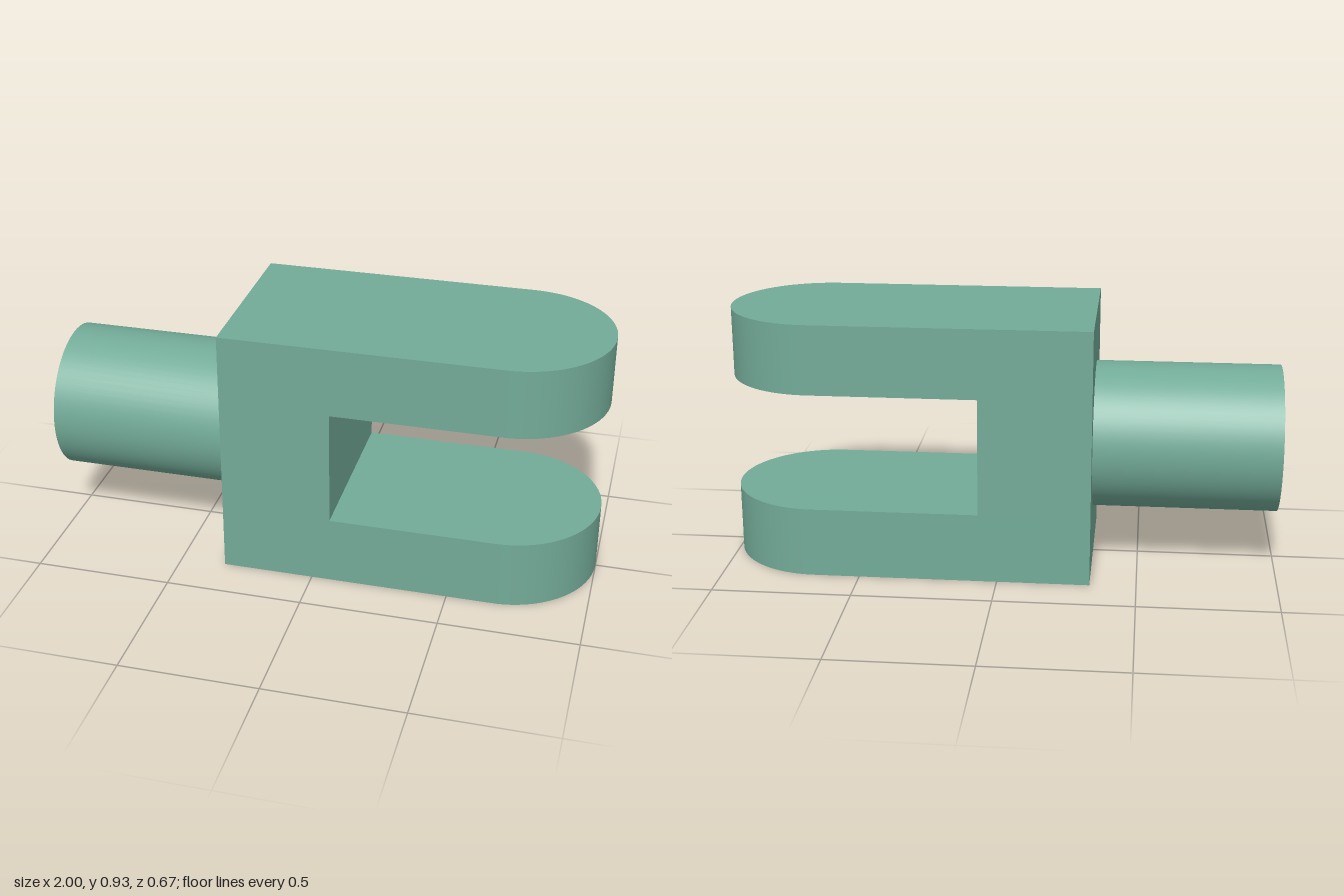
import * as THREE from 'three';
import { toCreasedNormals } from 'three/addons/utils/BufferGeometryUtils.js';

const BACK = -1 / 3, SLOT = 0.067, HALF_WIDTH = 1 / 3;
const HEIGHT = 0.933, PRONG = 0.253;

export function createModel() {
  const model = new THREE.Group();
  model.name = 'forkEnd';
  const green = new THREE.MeshStandardMaterial({ color: 0x73ab98 });
  green.name = 'sage green';

  const add = (name, geometry, x, y) => {
    const mesh = new THREE.Mesh(geometry, green);
    mesh.name = name;
    mesh.position.set(x, y, 0);
    model.add(mesh);
  };

  // Prongs: flat plates with a half-round tip, running the full body length
  const outline = new THREE.Shape();
  outline.moveTo(BACK, -HALF_WIDTH);
  outline.lineTo(1 - HALF_WIDTH, -HALF_WIDTH);
  outline.absarc(1 - HALF_WIDTH, 0, HALF_WIDTH, -Math.PI / 2, Math.PI / 2, false);
  outline.lineTo(BACK, HALF_WIDTH);
  outline.closePath();
  const plate = new THREE.ExtrudeGeometry(outline, { depth: PRONG, bevelEnabled: false, curveSegments: 40 });
  plate.rotateX(-Math.PI / 2);
  const prong = toCreasedNormals(plate, Math.PI / 6);
  add('lowerProng', prong, 0, 0);
  add('upperProng', prong, 0, HEIGHT - PRONG);

  // Web joining the prongs behind the slot
  add('web', new THREE.BoxGeometry(SLOT - BACK, HEIGHT - 2 * PRONG, 2 * HALF_WIDTH),
    (SLOT + BACK) / 2, HEIGHT / 2);

  // Round shank
  const shank = new THREE.CylinderGeometry(0.267, 0.267, 1 + BACK, 72);
  shank.rotateZ(Math.PI / 2);
  add('shank', shank, (BACK - 1) / 2, HEIGHT / 2);

  return model;
}
